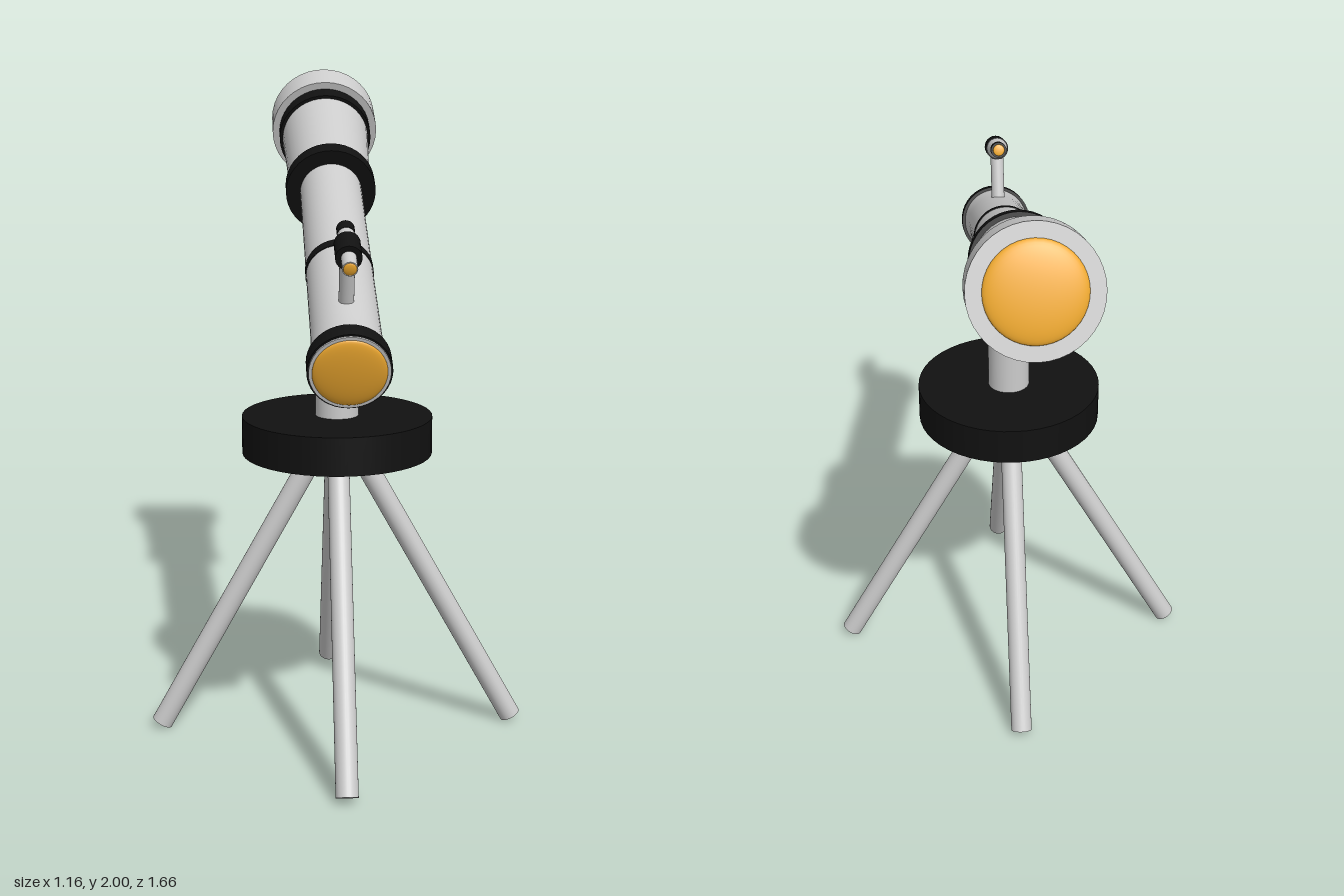
import * as THREE from 'three';

const grey = new THREE.MeshStandardMaterial({ color: 0xcccccc });
const black = new THREE.MeshStandardMaterial({ color: 0x111111 });
const amber = new THREE.MeshStandardMaterial({ color: 0xf0aa30 });

function add(parent, name, geometry, material) {
  const mesh = new THREE.Mesh(geometry, material);
  mesh.name = name;
  parent.add(mesh);
  return mesh;
}

// Cylinder along y from y0 to y1, with radius r0 at the start and r1 at the end
function rod(parent, name, y0, y1, r0, r1, material, sides = 40) {
  const mesh = add(parent, name, new THREE.CylinderGeometry(r1, r0, y1 - y0, sides), material);
  mesh.position.y = (y0 + y1) / 2;
  return mesh;
}

// Shallow dome along y; a negative bulge faces -y
function lens(parent, name, y, radius, bulge) {
  const dome = new THREE.SphereGeometry(radius, 40, 12, 0, Math.PI * 2, 0, Math.PI / 2);
  const mesh = add(parent, name, dome, amber);
  mesh.scale.y = Math.abs(bulge) / radius;
  if (bulge < 0) mesh.rotation.x = Math.PI;
  mesh.position.y = y;
}

function createTube() {
  const tube = new THREE.Group();
  tube.name = 'opticalTube';

  // Rear tube, flaring gently towards the eyepiece
  const profile = [[0.107, 0.03], [0.104, 0.06], [0.1, 0.1], [0.097, 0.17], [0.097, 0.4], [0.097, 1.1]];
  add(tube, 'rearTube', new THREE.LatheGeometry(profile.map(p => new THREE.Vector2(...p)), 48), grey);
  rod(tube, 'eyepieceRim', 0, 0.05, 0.109, 0.109, grey);
  rod(tube, 'eyepieceBand', 0.006, 0.058, 0.114, 0.114, black);
  lens(tube, 'eyepieceLens', 0, 0.1, -0.015);
  rod(tube, 'middleBand', 0.53, 0.565, 0.099, 0.099, black);

  // Front tube and lens hood
  rod(tube, 'frontTubeBand', 1.075, 1.13, 0.142, 0.142, black);
  rod(tube, 'frontTube', 1.1, 1.54, 0.127, 0.145, grey);
  rod(tube, 'hoodBand', 1.488, 1.546, 0.153, 0.153, black);
  rod(tube, 'lensHood', 1.545, 1.66, 0.176, 0.176, grey);
  lens(tube, 'objectiveLens', 1.66, 0.134, 0.027);

  // Finder scope on a post above the tube
  const post = add(tube, 'finderPost', new THREE.CylinderGeometry(0.021, 0.021, 0.17, 24), grey);
  post.rotation.x = Math.PI / 2;
  post.position.set(0, 0.215, 0.165);
  const finder = new THREE.Group();
  finder.name = 'finderScope';
  finder.position.z = 0.255;
  rod(finder, 'finderEyepiece', 0.097, 0.17, 0.021, 0.021, grey, 24);
  rod(finder, 'finderGrip', 0.156, 0.24, 0.036, 0.036, black, 24);
  rod(finder, 'finderTaper', 0.24, 0.29, 0.033, 0.023, grey, 24);
  rod(finder, 'finderFrontRing', 0.286, 0.326, 0.025, 0.025, black, 24);
  lens(finder, 'finderRearLens', 0.097, 0.018, -0.005);
  lens(finder, 'finderFrontLens', 0.326, 0.018, 0.005);
  tube.add(finder);

  // Local y becomes the optical axis, raised 20 degrees towards the back
  tube.rotation.x = THREE.MathUtils.degToRad(-70);
  tube.position.set(0, 1.27, 0.79);
  return tube;
}

function createStand() {
  const stand = new THREE.Group();
  stand.name = 'stand';
  stand.position.z = 0.153;
  rod(stand, 'pillar', 0.95, 1.48, 0.065, 0.065, grey);
  rod(stand, 'mountDisc', 0.89, 1.005, 0.288, 0.288, black, 48);

  // Four splayed legs
  const top = new THREE.Vector3(0.037, 0.94, 0);
  const foot = new THREE.Vector3(0.55, 0.017, 0);
  const dir = top.clone().sub(foot);
  for (let i = 0; i < 4; i++) {
    const pivot = new THREE.Group();
    pivot.name = 'leg' + (i + 1);
    pivot.rotation.y = i * Math.PI / 2;
    const leg = add(pivot, 'legRod', new THREE.CylinderGeometry(0.033, 0.033, dir.length(), 28), grey);
    leg.position.copy(top).add(foot).multiplyScalar(0.5);
    leg.quaternion.setFromUnitVectors(new THREE.Vector3(0, 1, 0), dir.clone().normalize());
    stand.add(pivot);
  }
  return stand;
}

export function createModel() {
  const model = new THREE.Group();
  model.name = 'telescope';
  model.add(createStand(), createTube());
  return model;
}
